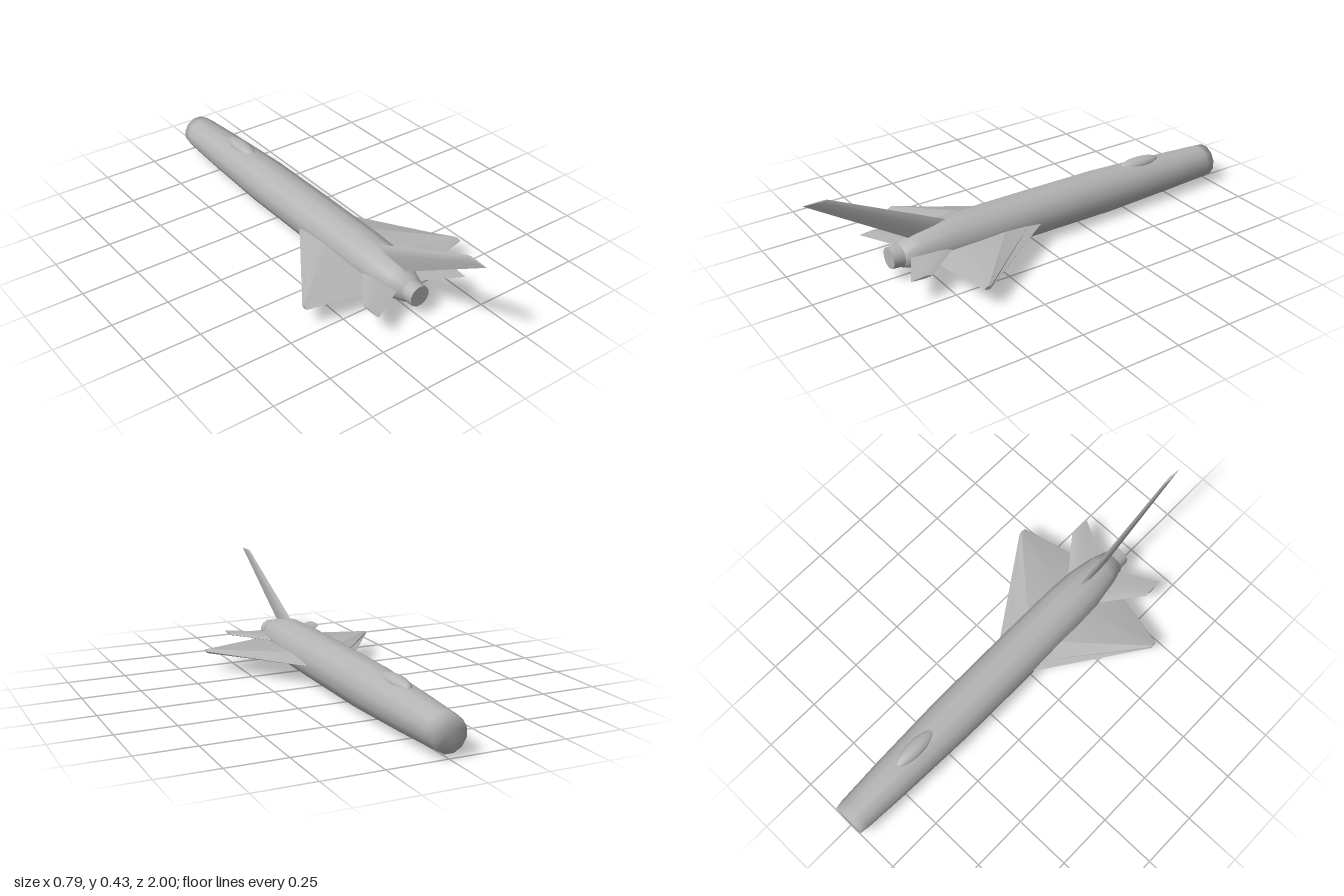
import * as THREE from 'three';
import { toCreasedNormals } from 'three/addons/utils/BufferGeometryUtils.js';

// Skins a list of closed rings of [x, y, z] points and closes both ends
function loft(rings) {
  const n = rings[0].length;
  const pos = rings.flat(2);
  let index = [];
  for (let i = 0; i < rings.length - 1; i++) {
    for (let j = 0; j < n; j++) {
      const a = i * n + j, b = i * n + (j + 1) % n;
      index.push(a, b, a + n, b, b + n, a + n);
    }
  }
  [0, rings.length - 1].forEach((r, end) => {
    const c = pos.length / 3;
    for (let k = 0; k < 3; k++) pos.push(rings[r].reduce((s, p) => s + p[k], 0) / n);
    for (let j = 0; j < n; j++) {
      const a = r * n + j, b = r * n + (j + 1) % n;
      if (end) index.push(a, b, c); else index.push(b, a, c);
    }
  });
  // Turn the faces outward if the enclosed volume is negative
  const v = (i) => new THREE.Vector3().fromArray(pos, i * 3);
  let volume = 0;
  for (let i = 0; i < index.length; i += 3) {
    volume += v(index[i]).dot(v(index[i + 1]).cross(v(index[i + 2])));
  }
  if (volume < 0) index = index.reverse();
  const g = new THREE.BufferGeometry();
  g.setAttribute('position', new THREE.Float32BufferAttribute(pos, 3));
  g.setIndex(index);
  g.computeVertexNormals();
  return g;
}

// Thin lens section: [fraction of chord, fraction of half thickness]
const FOIL = [[0, 0], [0.12, 0.6], [0.33, 1], [0.68, 0.6], [1, 0], [0.68, -0.6], [0.33, -1], [0.12, -0.6]];

// Each station: [span, height, leading z, trailing z, half thickness]
function foil(stations, place) {
  const rings = stations.map(([span, mid, z0, z1, t]) =>
    FOIL.map(([c, h]) => place(span, mid + h * t, z0 + c * (z1 - z0))));
  return toCreasedNormals(loft(rings), 0.5);
}

export function createModel() {
  const model = new THREE.Group();
  model.name = 'jet';
  const grey = new THREE.MeshStandardMaterial({ color: 0xb4b4b4 });
  grey.name = 'grey';
  const add = (name, geometry) => {
    const mesh = new THREE.Mesh(geometry, grey);
    mesh.name = name;
    model.add(mesh);
    return mesh;
  };

  // Fuselage, twelve sided: [z, centre height, half width, half height]
  const body = [
    [-1, 0.093, 0.07, 0.07], [-0.96, 0.094, 0.075, 0.073], [-0.75, 0.096, 0.086, 0.083],
    [-0.4, 0.1, 0.098, 0.097], [0, 0.103, 0.1, 0.096], [0.3, 0.105, 0.099, 0.095],
    [0.42, 0.105, 0.093, 0.092], [0.54, 0.102, 0.074, 0.073], [0.61, 0.1, 0.052, 0.052],
  ];
  add('fuselage', loft(body.map(([z, y, rx, ry]) => Array.from({ length: 12 }, (_, i) => {
    const a = (i + 0.5) * Math.PI / 6, k = 1 / Math.cos(Math.PI / 12);
    return [Math.cos(a) * rx * k, y + Math.sin(a) * ry * k, z];
  }))));

  // Exhaust nozzle
  const nozzle = new THREE.CylinderGeometry(0.046, 0.05, 0.07, 12);
  nozzle.rotateY(Math.PI / 12).rotateX(Math.PI / 2);
  add('nozzle', nozzle).position.set(0, 0.1, 0.625);

  // Canopy blister
  const canopy = new THREE.SphereGeometry(1, 24, 16).scale(0.035, 0.028, 0.107);
  add('canopy', canopy).position.set(0, 0.179, -0.605);

  // Wings and tailplanes
  for (const [label, side] of [['left', 1], ['right', -1]]) {
    const across = (s, h, z) => [side * s, h, z];
    add(label + 'Wing', foil([[0.05, 0.099, -0.08, 0.54, 0.019], [0.393, 0.089, 0.425, 0.46, 0.009]], across));
    add(label + 'Tailplane', foil([[0.03, 0.109, 0.34, 0.575, 0.009], [0.22, 0.11, 0.585, 0.68, 0.0055]], across));
  }

  // Swept tail fin
  add('tailFin', foil([[0.15, 0, 0.293, 0.545, 0.011], [0.435, 0, 0.9, 1, 0.0055]], (s, h, z) => [h, s, z]));

  return model;
}
